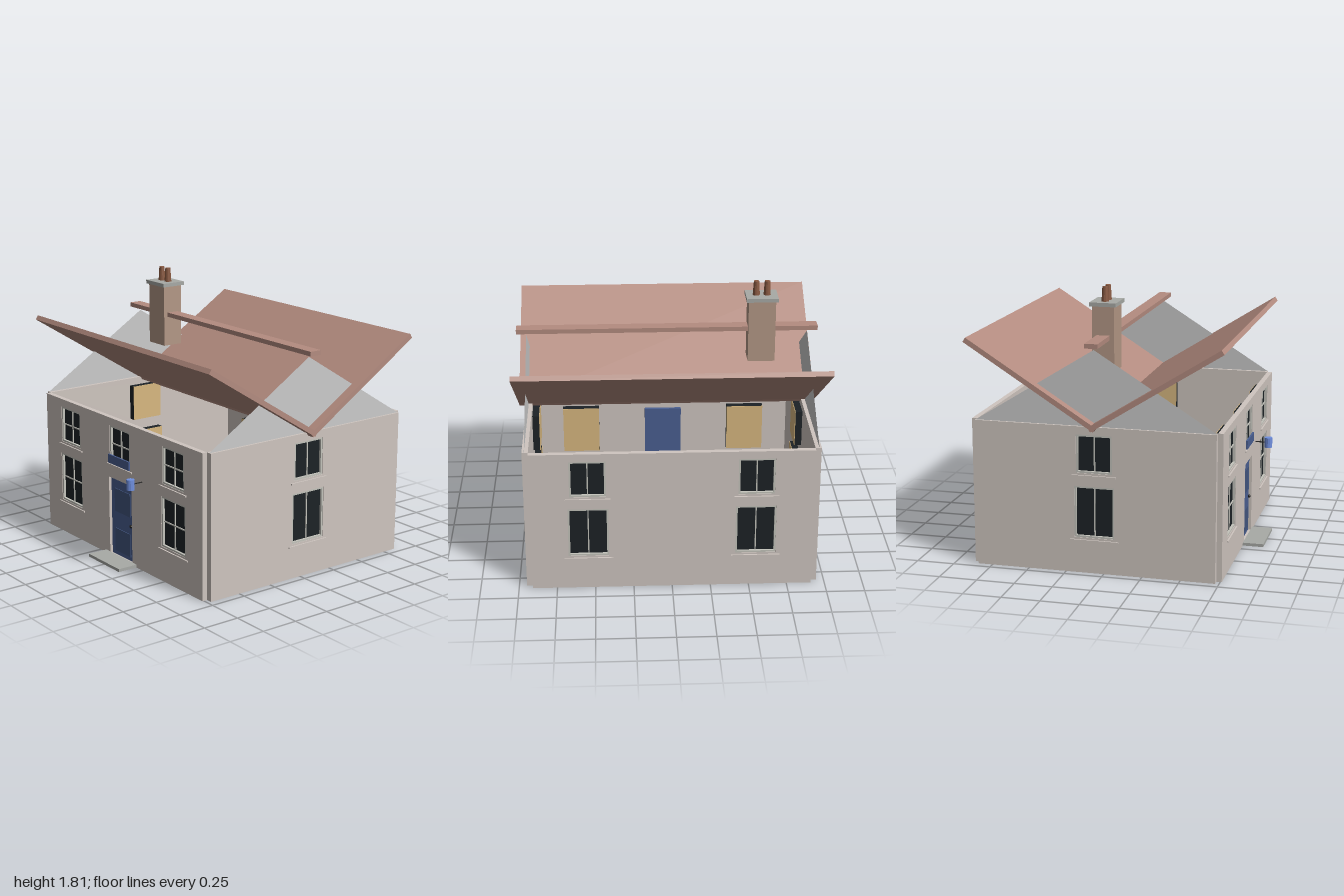
import * as THREE from 'three';

const mat = (color, side = THREE.FrontSide) =>
  new THREE.MeshStandardMaterial({ color, side, flatShading: true });
const M = {
  wall: mat(0xcfc6c0), gable: mat(0xcccccc, THREE.DoubleSide), grey: mat(0xcccccc),
  roof: mat(0xb48c80), brick: mat(0xb49886), pot: mat(0x8a5a42), slab: mat(0xa8aaa6),
  frame: mat(0xc4c4bc), glass: mat(0x1c2226), blind: mat(0xd8b880), door: mat(0x4a5f92),
  panel: mat(0x42557f), metal: mat(0x222222), lamp: mat(0x7090e0), floor: mat(0x807d78),
};
const WALL_H = 0.965, MID_Z = -0.06;

function add(parent, name, geometry, material, x = 0, y = 0, z = 0) {
  const mesh = new THREE.Mesh(geometry, material);
  mesh.name = name;
  mesh.position.set(x, y, z);
  parent.add(mesh);
  return mesh;
}
const box = (parent, name, w, h, d, material, x, y, z) =>
  add(parent, name, new THREE.BoxGeometry(w, h, d), material, x, y, z);

// Rectangle outline centred on x, y
function rect(Type, w, h, x, y) {
  const p = new Type();
  p.moveTo(x - w / 2, y - h / 2);
  p.lineTo(x + w / 2, y - h / 2);
  p.lineTo(x + w / 2, y + h / 2);
  p.lineTo(x - w / 2, y + h / 2);
  p.closePath();
  return p;
}

// Slab with rectangular openings; outer face on z = 0
function pierced(w, h, y, depth, holes) {
  const shape = rect(THREE.Shape, w, h, 0, y);
  for (const o of holes) shape.holes.push(rect(THREE.Path, o.w, o.h, o.x, o.y));
  return new THREE.ExtrudeGeometry(shape, { depth, bevelEnabled: false }).translate(0, 0, -depth);
}

// Sash window: frame, glazing bars, dark glass box, inner blind and sill
function addWindow(wall, o, crossBar) {
  const g = new THREE.Group();
  g.name = 'window';
  g.position.set(o.x, o.y, 0);
  wall.add(g);
  const frame = pierced(o.w, o.h, 0, 0.02, [{ x: 0, y: 0, w: o.w - 0.024, h: o.h - 0.024 }]);
  add(g, 'windowFrame', frame, M.frame, 0, 0, -0.004);
  box(g, 'windowGlass', o.w, o.h, 0.065, M.glass, 0, 0, -0.0525);
  box(g, 'windowBlind', o.w, o.h, 0.004, M.blind, 0, 0, -0.087);
  box(g, 'verticalBar', 0.008, o.h - 0.02, 0.008, M.frame, 0, 0, -0.017);
  if (crossBar) box(g, 'crossBar', o.w - 0.02, 0.008, 0.008, M.frame, 0, 0, -0.017);
  box(g, 'windowSill', o.w + 0.055, 0.01, 0.03, M.wall, 0, -o.h / 2 - 0.018, -0.005);
}

const upper = x => ({ x, y: 0.787, w: 0.235, h: 0.25 });
const lower = x => ({ x, y: 0.405, w: 0.262, h: 0.34 });

function addWall(parent, name, length, depth, windows, crossBar, doorway = []) {
  const g = new THREE.Group();
  g.name = name;
  parent.add(g);
  add(g, name + 'Panel', pierced(length, WALL_H, WALL_H / 2, depth, [...windows, ...doorway]), M.wall);
  windows.forEach(o => addWindow(g, o, crossBar));
  return g;
}

export function createModel() {
  const model = new THREE.Group();
  model.name = 'house';

  // Four walls, meeting in notched corners
  const doorway = { x: 0, y: 0.282, w: 0.265, h: 0.54 };
  const front = addWall(model, 'frontWall', 1.82, 0.035,
    [upper(-0.6), upper(0), upper(0.6), lower(-0.6), lower(0.6)], true, [doorway]);
  front.position.z = 0.76;
  const back = addWall(model, 'backWall', 1.82, 0.035,
    [-0.54, 0.54].flatMap(x => [upper(x), lower(x)]), false);
  back.position.z = -0.88;
  back.rotation.y = Math.PI;
  for (const s of [-1, 1]) {
    const side = addWall(model, s > 0 ? 'leftWall' : 'rightWall', 1.57, 0.04, [upper(0), lower(0)], false);
    side.position.set(0.95 * s, 0, MID_Z);
    side.rotation.y = s * Math.PI / 2;

    // Thin gable triangle
    const tri = new THREE.Shape([
      new THREE.Vector2(-0.785, 0), new THREE.Vector2(0.785, 0), new THREE.Vector2(0, 0.49)]);
    const gable = add(model, 'gable', new THREE.ShapeGeometry(tri), M.gable, 0.935 * s, WALL_H, MID_Z);
    gable.rotation.y = s * Math.PI / 2;
  }
  box(model, 'floor', 1.82, 0.02, 1.57, M.floor, 0, 0.02, MID_Z);

  // Door with two panels and a knob
  const door = new THREE.Group();
  door.name = 'door';
  door.position.z = 0.76;
  model.add(door);
  box(door, 'doorLeaf', 0.265, 0.54, 0.04, M.door, 0, 0.282, -0.04);
  for (const y of [0.12, 0.4]) box(door, 'doorPanel', 0.18, 0.16, 0.008, M.panel, 0, y, -0.019);
  add(door, 'doorKnob', new THREE.SphereGeometry(0.011, 10, 8), M.metal, 0.105, 0.262, -0.012);
  box(model, 'doorStep', 0.36, 0.02, 0.14, M.slab, 0, 0.01, 0.83);
  box(model, 'signBoard', 0.24, 0.06, 0.012, M.door, 0, 0.685, 0.766);

  // Hanging lamp on a bracket
  const rod = add(model, 'lampBracket', new THREE.CylinderGeometry(0.004, 0.004, 0.09, 6), M.metal, 0.257, 0.613, 0.805);
  rod.rotation.x = Math.PI / 2;
  add(model, 'lamp', new THREE.CylinderGeometry(0.027, 0.027, 0.07, 12), M.lamp, 0.257, 0.613, 0.85);

  // Two roof slabs crossing in a valley, with the ridge beam above
  for (const s of [-1, 1]) {
    const slab = box(model, 'roofSlab', 2, 0.033, 1, M.roof, 0, 1.225, MID_Z + 0.405 * s);
    slab.rotation.x = -s * THREE.MathUtils.degToRad(32.3);
  }
  box(model, 'ridgeBeam', 2, 0.03, 0.085, M.roof, 0, 1.49, MID_Z);

  // Chimney with cap and two pots
  box(model, 'chimneyStack', 0.18, 0.42, 0.145, M.brick, -0.625, 1.48, MID_Z);
  box(model, 'chimneyCap', 0.21, 0.025, 0.175, M.slab, -0.625, 1.7025, MID_Z);
  for (const x of [-0.661, -0.589])
    add(model, 'chimneyPot', new THREE.CylinderGeometry(0.018, 0.024, 0.095, 12), M.pot, x, 1.7625, MID_Z);

  return model;
}
